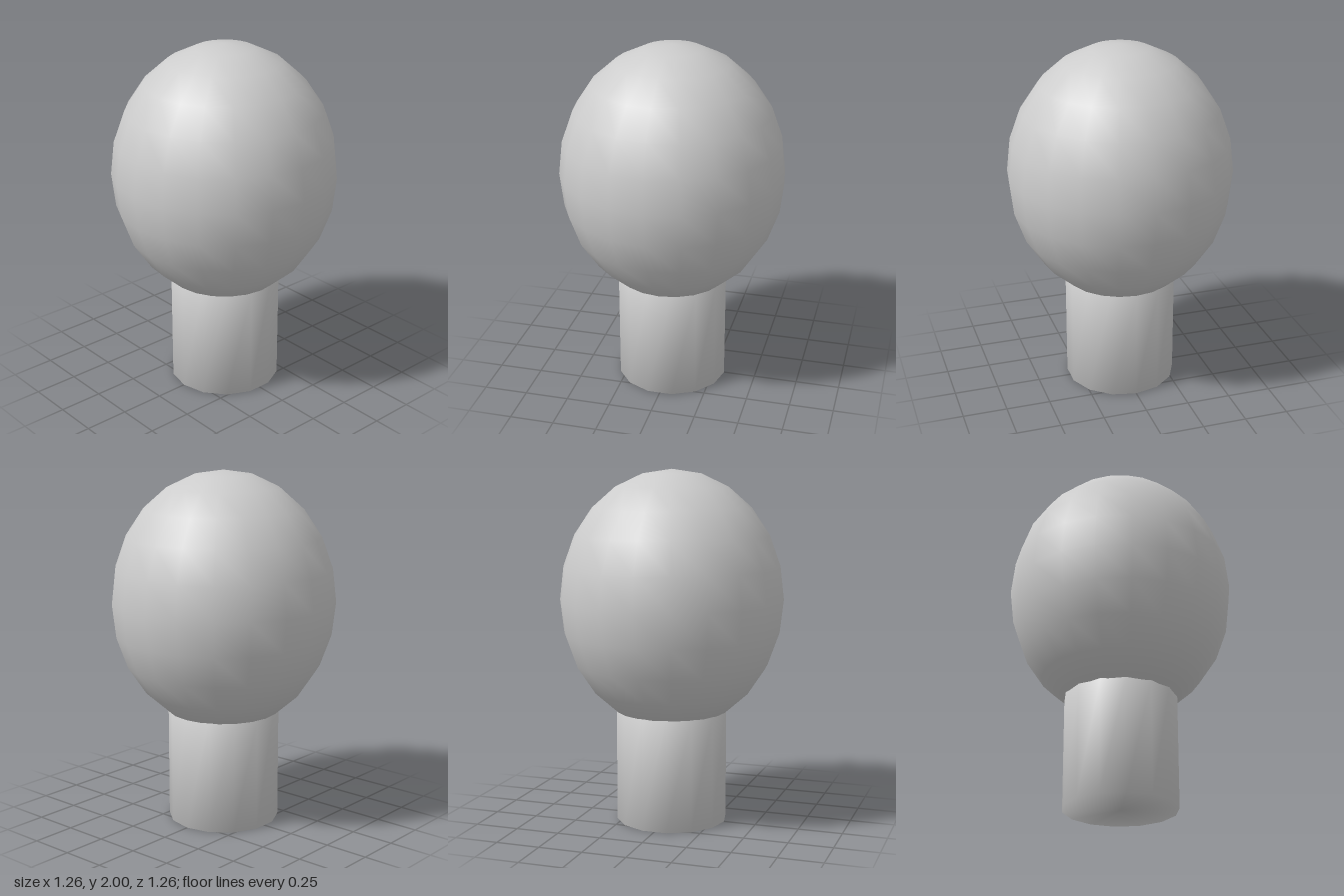
import * as THREE from 'three';
import { mergeVertices } from 'three/addons/utils/BufferGeometryUtils.js';

const HEAD_RADIUS = 0.632, HEAD_HALF_HEIGHT = 0.73, HEAD_Y = 1.27;
const STEM_RADIUS = 0.316, STEM_HEIGHT = 0.638;

// Shares vertices across edges so the shading runs smoothly over them
function smoothAll(geometry) {
  geometry.deleteAttribute('normal');
  geometry.deleteAttribute('uv');
  const welded = mergeVertices(geometry, 1e-4);
  welded.computeVertexNormals();
  return welded;
}

export function createModel() {
  const group = new THREE.Group();
  group.name = 'roundHeadedPost';
  const grey = new THREE.MeshStandardMaterial({ color: 0xcccccc });
  grey.name = 'light grey';

  // Slightly tall ball, twenty segments round
  const headGeometry = new THREE.SphereGeometry(HEAD_RADIUS, 20, 12);
  headGeometry.scale(1, HEAD_HALF_HEIGHT / HEAD_RADIUS, 1);
  const head = new THREE.Mesh(headGeometry, grey);
  head.name = 'head';
  head.position.y = HEAD_Y;
  group.add(head);

  // Short capped stem with soft shading over its rims
  const stemGeometry = new THREE.CylinderGeometry(STEM_RADIUS, STEM_RADIUS, STEM_HEIGHT, 14);
  const stem = new THREE.Mesh(smoothAll(stemGeometry), grey);
  stem.name = 'stem';
  stem.position.y = STEM_HEIGHT / 2;
  group.add(stem);

  return group;
}
